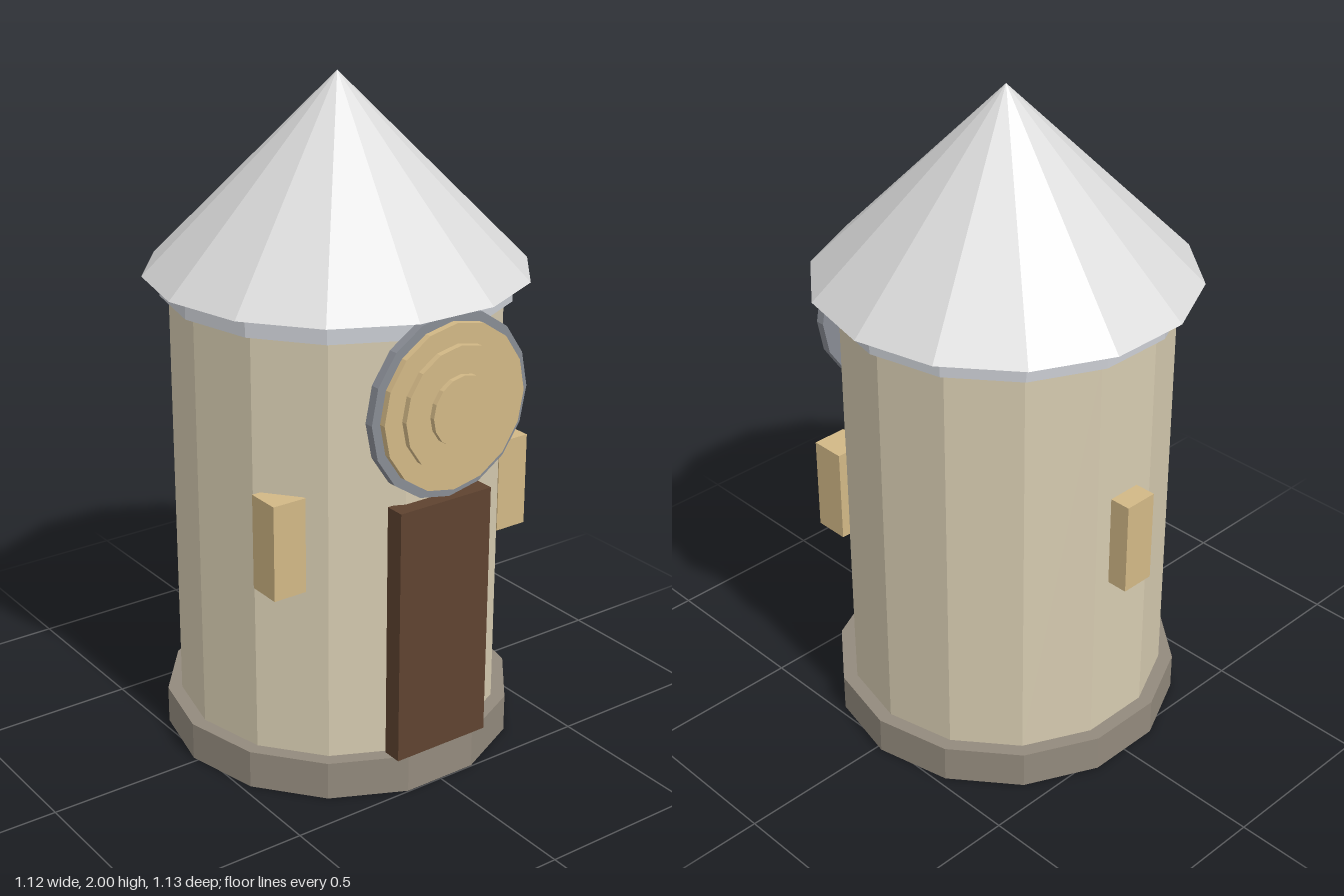
import * as THREE from 'three';

const SIDES = 14;
const AXIS_Z = -0.018; // tower axis, set back a little to balance the clock

function material(name, color) {
  const m = new THREE.MeshStandardMaterial({ color, flatShading: true });
  m.name = name;
  return m;
}

export function createModel() {
  const tower = new THREE.Group();
  tower.name = 'clockTower';

  const wallStone = material('wall stone', 0xd6cbb0);
  const baseStone = material('base stone', 0x938a7d);
  const roofGrey = material('roof grey', 0xdadada);
  const corniceGrey = material('cornice grey', 0xcbced4);
  const rimGrey = material('rim grey', 0x888c94);
  const gold = material('pale gold', 0xd2b886);
  const wood = material('door wood', 0x5f4330);

  function add(name, geometry, mat, x, y, z) {
    const mesh = new THREE.Mesh(geometry, mat);
    mesh.name = name;
    mesh.position.set(x, y, z);
    tower.add(mesh);
  }

  // Fourteen-sided tower section with a flat side facing the front
  function section(name, rTop, rBottom, y0, y1, mat) {
    const g = new THREE.CylinderGeometry(rTop, rBottom, y1 - y0, SIDES);
    g.rotateY(Math.PI / SIDES);
    add(name, g, mat, 0, (y0 + y1) / 2, AXIS_Z);
  }
  section('base', 0.528, 0.528, 0, 0.115, baseStone);
  section('wall', 0.485, 0.485, 0.115, 1.375, wallStone);
  section('cornice', 0.51, 0.51, 1.375, 1.435, corniceGrey);

  // Roof cone
  const roof = new THREE.ConeGeometry(0.56, 0.565, SIDES);
  roof.rotateY(Math.PI / SIDES);
  add('roof', roof, roofGrey, 0, 1.7175, AXIS_Z);

  // Door
  add('door', new THREE.BoxGeometry(0.316, 0.775, 0.06), wood, 0, 0.5025, 0.47);

  // Clock: stepped discs in front of a grey rim
  function disc(name, r, z0, z1, mat) {
    const g = new THREE.CylinderGeometry(r, r, z1 - z0, 16);
    g.rotateX(Math.PI / 2);
    add(name, g, mat, 0, 1.175, (z0 + z1) / 2);
  }
  disc('clockRim', 0.267, 0.482, 0.51, rimGrey);
  disc('clockFace', 0.24, 0.505, 0.53, gold);
  disc('clockMiddleDisc', 0.182, 0.525, 0.548, gold);
  disc('clockCentreDisc', 0.102, 0.543, 0.564, gold);

  // Windows: one on each side and one at the back
  const windows = [['windowLeft', 0.398, 0.262], ['windowRight', -0.398, 0.262], ['windowBack', 0, -0.503]];
  for (const [name, x, z] of windows) {
    add(name, new THREE.BoxGeometry(0.105, 0.285, 0.105), gold, x, 0.7775, z);
  }

  return tower;
}
